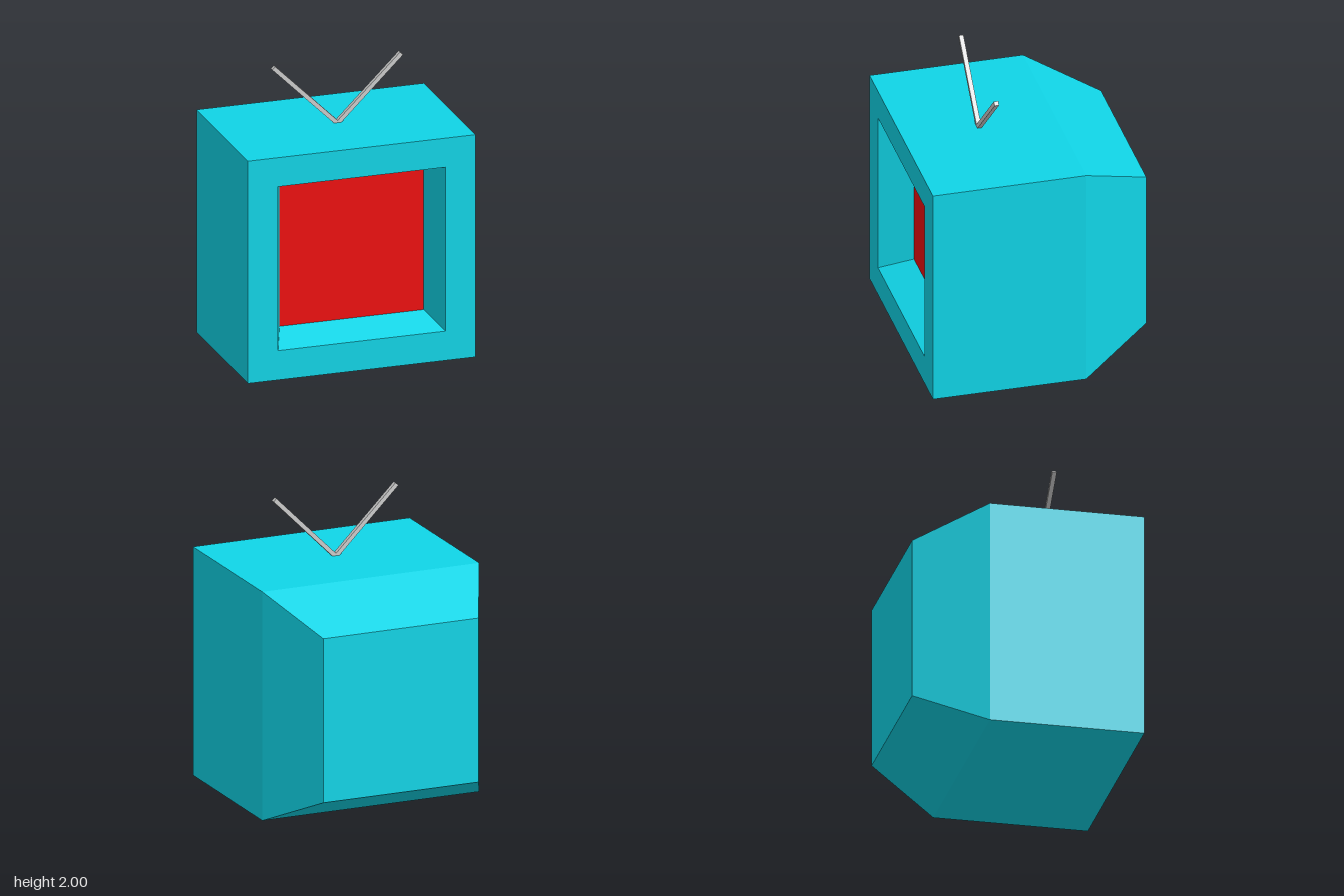
import * as THREE from 'three';

// Rectangular cross-section, corners counter-clockwise seen from the front
const ring = (x0, x1, y0, y1, z) => [[x0, y0, z], [x1, y0, z], [x1, y1, z], [x0, y1, z]];

// Flat-faced surface from quads
function quadGeometry(quads) {
  const positions = quads.flatMap(([a, b, c, d]) => [a, b, c, a, c, d].flat());
  const geometry = new THREE.BufferGeometry();
  geometry.setAttribute('position', new THREE.Float32BufferAttribute(positions, 3));
  geometry.computeVertexNormals();
  return geometry;
}

function part(name, geometry, color) {
  const mesh = new THREE.Mesh(geometry, new THREE.MeshStandardMaterial({ color, flatShading: true }));
  mesh.name = name;
  return mesh;
}

export function createModel() {
  const model = new THREE.Group();
  model.name = 'television';

  // Cabinet: tapered back, slightly skewed box, front frame and sloping recess
  const rings = [
    ring(-0.565, 0.542, 0.22, 1.33, -0.75),
    ring(-0.785, 0.762, 0.0, 1.548, -0.285),
    ring(-0.767, 0.78, 0.026, 1.572, 0.75),
    ring(-0.562, 0.577, 0.23, 1.37, 0.75),
    ring(-0.482, 0.498, 0.308, 1.292, 0.53),
  ];
  const quads = [[...rings[0]].reverse()];
  for (let r = 0; r < rings.length - 1; r++) {
    for (let i = 0; i < 4; i++) {
      const j = (i + 1) % 4;
      quads.push([rings[r][i], rings[r][j], rings[r + 1][j], rings[r + 1][i]]);
    }
  }
  model.add(part('cabinet', quadGeometry(quads), 0x10d4e6));

  // Screen closing the recess
  model.add(part('screen', quadGeometry([rings[4]]), 0xee0e0e));

  // Two square antenna rods in a V
  const length = 0.615;
  for (const side of [-1, 1]) {
    const rod = part(side < 0 ? 'rightAntenna' : 'leftAntenna',
      new THREE.BoxGeometry(0.029, length, 0.03).translate(0, length / 2, 0), 0xcccccc);
    rod.position.set(0.005, 1.555, 0.23);
    rod.rotation.z = -side * Math.PI / 4;
    model.add(rod);
  }
  return model;
}
